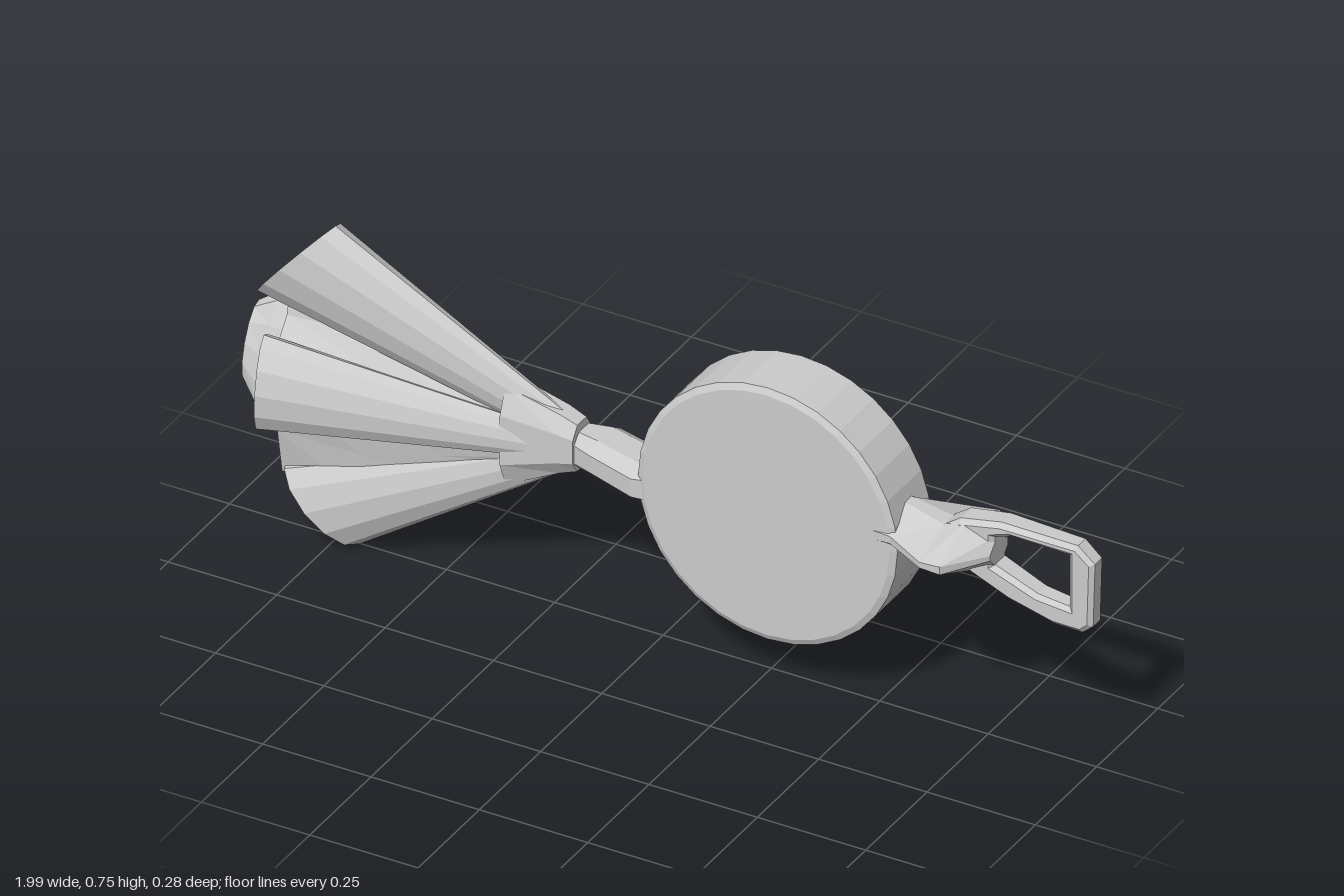
import * as THREE from 'three';

const mat = new THREE.MeshStandardMaterial({ color: 0xcccccc, flatShading: true, side: THREE.DoubleSide });
const V = (x, y, z) => new THREE.Vector3(x, y, z);

function add(parent, name, geometry) {
  const mesh = new THREE.Mesh(geometry, mat);
  mesh.name = name;
  parent.add(mesh);
}

// Skin a list of equal-length rings; each end is closed by a fan around a hub point.
function loft(rings, endHub) {
  const n = rings[0].length, pos = [], idx = [];
  const centre = r => r.reduce((s, p) => s.add(p), V(0, 0, 0)).divideScalar(n);
  const hubs = [centre(rings[0]), endHub || centre(rings[rings.length - 1])];
  [...rings.flat(), ...hubs].forEach(p => pos.push(p.x, p.y, p.z));
  const o = (rings.length - 1) * n, hub = o + n;
  for (let j = 0; j < n; j++) {
    const k = (j + 1) % n;
    for (let i = 0; i < o; i += n) idx.push(i + j, i + j + n, i + k, i + k, i + j + n, i + k + n);
    idx.push(hub, j, k, hub + 1, o + k, o + j);
  }
  const g = new THREE.BufferGeometry();
  g.setAttribute('position', new THREE.Float32BufferAttribute(pos, 3));
  g.setIndex(idx);
  const flat = g.toNonIndexed();
  flat.computeVertexNormals();
  return flat;
}

// Elliptical ring from a centre and two half-axis vectors.
function ring(c, a, b, n = 12) {
  return Array.from({ length: n }, (_, i) => {
    const t = i / n * Math.PI * 2;
    return c.clone().addScaledVector(a, Math.cos(t)).addScaledVector(b, Math.sin(t));
  });
}

// Eight-sided section across x: bounds in y and z, with cut corners.
function section([x, y0, y1, z0, z1], cut = 0.25) {
  const h = (y1 - y0) * cut, d = (z1 - z0) * cut;
  return [[y1, z0 + d], [y1, z1 - d], [y1 - h, z1], [y0 + h, z1], [y0, z1 - d], [y0, z0 + d], [y0 + h, z0], [y1 - h, z0]]
    .map(([y, z]) => V(x, y, z));
}

export function createModel() {
  const model = new THREE.Group();
  model.name = 'tasselCharm';

  // Round medallion with slightly softened rims
  const disc = new THREE.LatheGeometry(
    [[0, -0.08], [0.285, -0.079], [0.299, -0.073], [0.299, 0.065], [0.285, 0.072], [0, 0.074]]
      .map(([r, h]) => new THREE.Vector2(r, h)), 32);
  disc.rotateX(Math.PI / 2);
  disc.translate(0.272, 0.41, -0.011);
  add(model, 'medallion', disc);

  // Faceted neck between medallion and tassel
  add(model, 'neck', loft([
    [-0.25, 0.335, 0.43, -0.06, 0.01],
    [-0.2, 0.335, 0.42, -0.07, 0.01],
    [-0.15, 0.34, 0.42, -0.092, 0.03],
    [-0.04, 0.335, 0.42, -0.065, 0.062],
    [0.02, 0.33, 0.43, -0.06, 0.055],
  ].map(s => section(s))));

  // Tassel: gathered collar, pleated web and four flared folds
  const tassel = new THREE.Group();
  tassel.name = 'tassel';
  model.add(tassel);

  add(tassel, 'collar', loft([
    [-0.2, 0.33, 0.44, -0.06, 0.015],
    [-0.24, 0.315, 0.455, -0.065, 0.02],
    [-0.36, 0.255, 0.49, -0.062, 0.03],
  ].map(s => section(s))));

  // The web's hem, as y and z around its edge, shrinks toward the collar
  const hem = [
    [0.57, -0.01], [0.5, 0.005], [0.45, 0.045], [0.37, 0.07], [0.25, 0.045], [0.14, 0.025],
    [0.14, -0.04], [0.22, -0.055], [0.34, -0.09], [0.44, -0.075], [0.5, -0.04], [0.57, -0.035],
  ];
  const webRings = [[-0.28, 0.22, 0.4], [-0.5, 0.7, 0.6], [-0.68, 1.08, 0.8], [-0.865, 1, 1]].map(([x, sy, sz]) =>
    hem.map(([y, z]) => V(x, 0.37 + (y - 0.37) * sy, -0.02 + (z + 0.02) * sz)));
  add(tassel, 'web', loft(webRings, V(-0.68, 0.36, -0.01)));

  const folds = [
    // name, start, end, half-axis in the face, half-axis in depth, recess of the open end
    ['upperFold', V(-0.24, 0.41, -0.02), V(-0.835, 0.65, 0.01), V(0.085, 0.1, 0), V(-0.01, 0, 0.063), 0.16],
    ['lowerFold', V(-0.24, 0.35, -0.02), V(-0.78, 0.085, 0.003), V(0.08, -0.08, 0), V(-0.01, 0, 0.065), 0.12],
    ['frontFold', V(-0.26, 0.38, 0), V(-0.88, 0.38, 0.083), V(0, 0.105, -0.01), V(0.015, 0, 0.055), 0.16],
    ['backFold', V(-0.26, 0.375, -0.04), V(-0.95, 0.33, -0.085), V(0, 0.13, -0.04), V(0, 0.01, 0.035), 0.02],
  ];
  for (const [name, start, end, a, b, recess] of folds) {
    const rings = [0, 0.35, 0.7, 1].map(t => {
      const s = 0.3 + 0.7 * t;
      return ring(start.clone().lerp(end, t), a.clone().multiplyScalar(s), b.clone().multiplyScalar(s));
    });
    if (name === 'backFold') // rounded tongue
      rings.push(ring(V(-1, 0.345, -0.092), V(0, 0.08, -0.028), V(0, 0.01, 0.032)));
    add(tassel, name, loft(rings, end.clone().lerp(start, recess)));
  }

  // Hanger: side-pointed clasp tapering into the loop
  const clasp = new THREE.Group();
  clasp.name = 'clasp';
  model.add(clasp);
  add(clasp, 'claspBody', loft([
    [0.5, 0.375, 0.505, -0.09, 0.06],
    [0.56, 0.39, 0.495, -0.095, 0.065],
    [0.65, 0.392, 0.475, -0.135, 0.105],
    [0.7, 0.38, 0.495, -0.138, 0.11],
    [0.765, 0.4, 0.475, -0.055, 0.02],
  ].map(s => section(s, 0.42))));

  // Slanted rectangular loop
  const outline = points => points.map(p => new THREE.Vector2(...p));
  const loop = new THREE.Shape(outline([
    [0.62, 0.44], [0.69, 0.49], [0.78, 0.507], [0.95, 0.503], [0.982, 0.475], [0.978, 0.335],
    [0.96, 0.32], [0.9, 0.322], [0.8, 0.35], [0.7, 0.395], [0.62, 0.41],
  ]));
  loop.holes.push(new THREE.Path(outline(
    [[0.755, 0.405], [0.86, 0.362], [0.945, 0.352], [0.945, 0.495], [0.8, 0.5], [0.755, 0.485]])));
  const loopGeo = new THREE.ExtrudeGeometry(loop, {
    depth: 0.036, bevelEnabled: true, bevelSize: 0.01, bevelThickness: 0.01, bevelSegments: 1,
  });
  loopGeo.translate(0, 0, -0.04);
  // Thin the loop toward its free end
  const p = loopGeo.attributes.position;
  for (let i = 0; i < p.count; i++) {
    const k = 1.3 - 0.5 * (p.getX(i) - 0.62) / 0.37;
    p.setZ(i, -0.022 + (p.getZ(i) + 0.022) * k);
  }
  loopGeo.computeVertexNormals();
  add(clasp, 'loop', loopGeo);

  return model;
}
